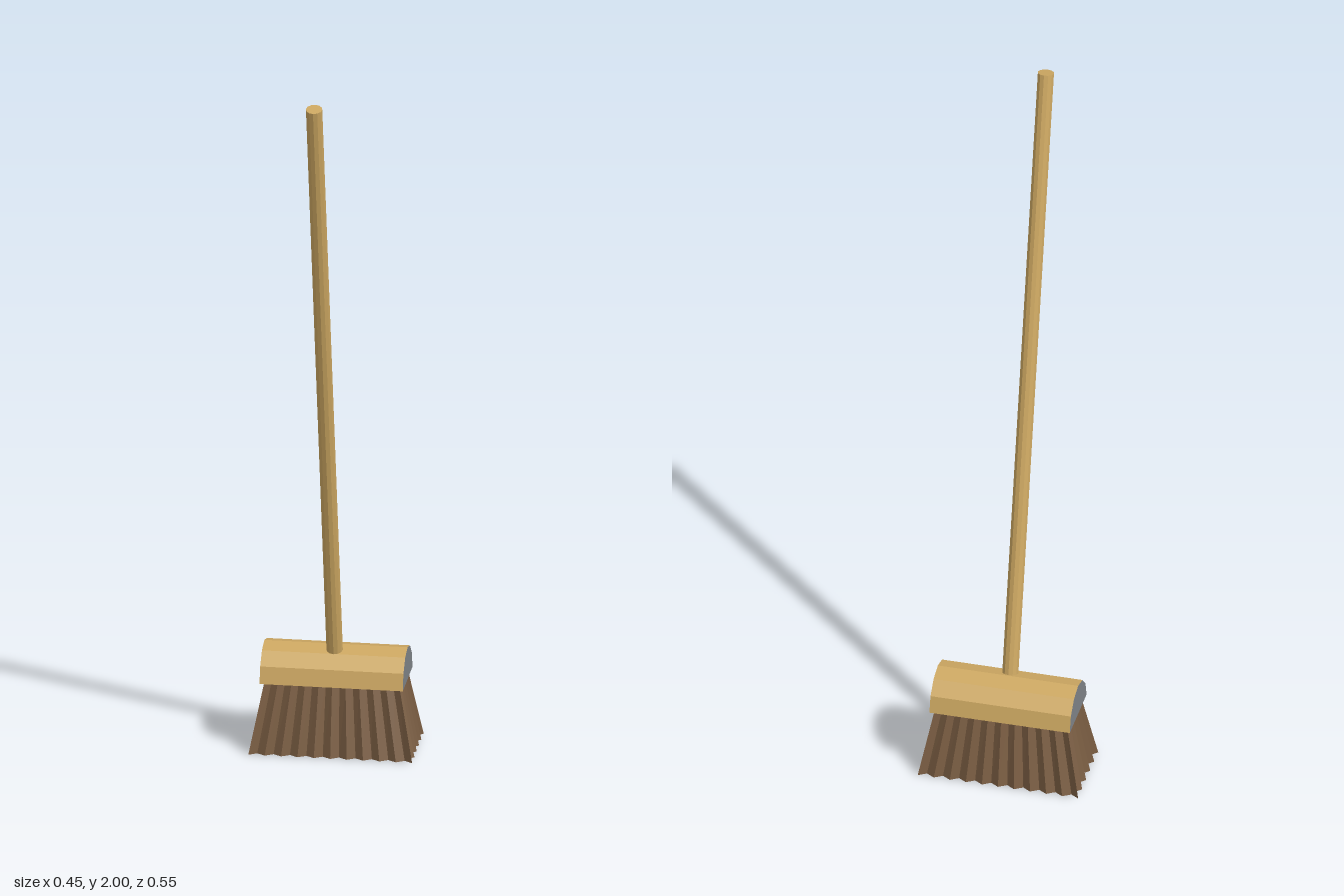
import * as THREE from 'three';

const HEAD_Z = -0.166;

// Faceted normals for low-poly parts
function faceted(geometry) {
  const g = geometry.index ? geometry.toNonIndexed() : geometry;
  g.computeVertexNormals();
  return g;
}

// Zigzag outline: points lie on the rectangle, notches are set inwards
function zigzag(hx, hz, notchX, notchZ) {
  const ring = [];
  const side = (n, place) => {
    for (let i = 0; i < n * 2; i++) place(-1 + i / n, i % 2);
  };
  side(10, (t, notch) => ring.push([t * hx, hz - notch * notchZ]));
  side(5, (t, notch) => ring.push([hx - notch * notchX, -t * hz]));
  side(10, (t, notch) => ring.push([-t * hx, -hz + notch * notchZ]));
  side(5, (t, notch) => ring.push([-hx + notch * notchX, t * hz]));
  return ring;
}

// Flared brush body between two zigzag rings, closed at both ends
function bristleGeometry(y0, y1) {
  const low = zigzag(0.223, 0.111, 0.023, 0.014);
  const high = zigzag(0.184, 0.076, 0.017, 0.01);
  const pos = [];
  const add = (...pts) => pts.forEach((p) => pos.push(...p));
  const n = low.length;
  for (let i = 0; i < n; i++) {
    const j = (i + 1) % n;
    const a = [low[i][0], y0, low[i][1]], b = [low[j][0], y0, low[j][1]];
    const c = [high[j][0], y1, high[j][1]], d = [high[i][0], y1, high[i][1]];
    add(a, b, c, a, c, d);
  }
  const cap = (ring, y, up) => {
    const pts = ring.map(([x, z]) => new THREE.Vector2(x, -z));
    for (const tri of THREE.ShapeUtils.triangulateShape(pts, [])) {
      const order = up ? tri : [...tri].reverse();
      add(...order.map((k) => [ring[k][0], y, ring[k][1]]));
    }
  };
  cap(low, y0, false);
  cap(high, y1, true);
  const g = new THREE.BufferGeometry();
  g.setAttribute('position', new THREE.Float32BufferAttribute(pos, 3));
  return faceted(g);
}

export function createModel() {
  const group = new THREE.Group();
  const wood = new THREE.MeshStandardMaterial({ color: 0xcda862 });
  wood.name = 'wood';
  const grey = new THREE.MeshStandardMaterial({ color: 0x808488 });
  grey.name = 'grey end';
  const brown = new THREE.MeshStandardMaterial({ color: 0x7b5e43 });
  brown.name = 'bristle brown';

  const add = (name, geometry, material) => {
    const mesh = new THREE.Mesh(geometry, material);
    mesh.name = name;
    group.add(mesh);
    return mesh;
  };

  // Half-round head with grey ends
  const profile = [];
  for (let i = 0; i <= 6; i++) {
    const a = (i / 6) * Math.PI;
    profile.push(new THREE.Vector2(0.093 * Math.cos(a), 0.092 * Math.sin(a)));
  }
  const headGeo = new THREE.ExtrudeGeometry(new THREE.Shape(profile), { depth: 0.39, bevelEnabled: false });
  headGeo.translate(0, 0, -0.195).rotateY(Math.PI / 2);
  add('head', headGeo, [grey, wood]).position.set(0, 0.199, HEAD_Z);

  // Bristles flaring to the floor
  add('bristles', bristleGeometry(0, 0.2), brown).position.z = HEAD_Z;

  // Leaning handle, sunk into the head
  const bottom = new THREE.Vector3(0, 0.25, -0.148);
  const top = new THREE.Vector3(0, 1.995, 0.2525);
  const axis = top.clone().sub(bottom);
  const handleGeo = faceted(new THREE.CylinderGeometry(0.0223, 0.0223, axis.length(), 12));
  const handle = add('handle', handleGeo, wood);
  handle.position.copy(bottom).add(top).multiplyScalar(0.5);
  handle.quaternion.setFromUnitVectors(new THREE.Vector3(0, 1, 0), axis.normalize());

  return group;
}
